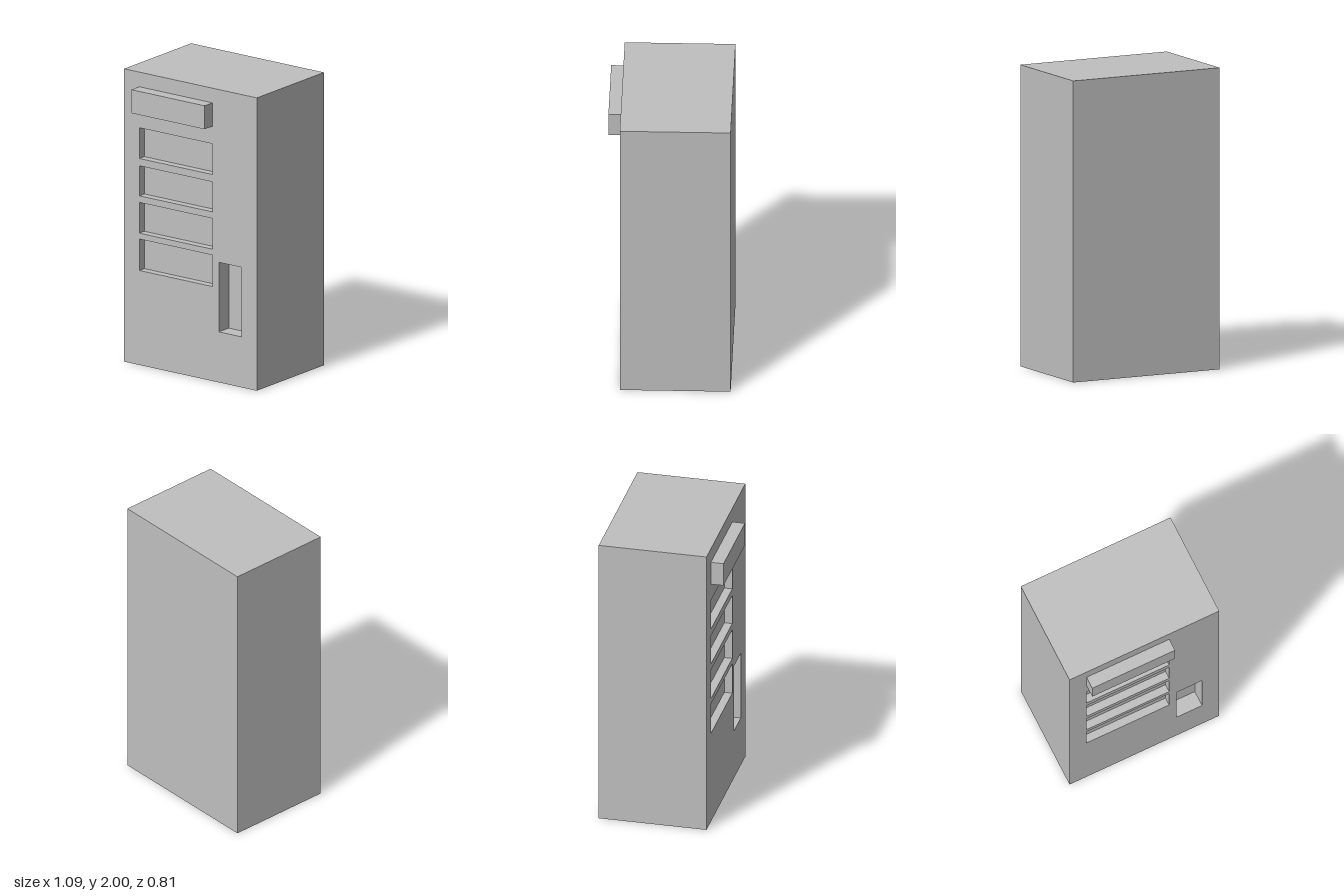
import * as THREE from 'three';

const FRONT = 0.32, BACK = -0.405, HALF = 0.545, HEIGHT = 2;

// Box between two corners without its front (+z) face; inward turns the faces inside
function openBox(x0, x1, y0, y1, z0, z1, inward) {
  const g = new THREE.BoxGeometry(x1 - x0, y1 - y0, z1 - z0);
  g.translate((x0 + x1) / 2, (y0 + y1) / 2, (z0 + z1) / 2);
  const index = Array.from(g.index.array);
  index.splice(24, 6);
  if (inward) index.reverse();
  g.setIndex(index);
  g.clearGroups();
  g.computeVertexNormals();
  return g;
}

function rectangle(target, x0, x1, y0, y1) {
  target.moveTo(x0, y0);
  target.lineTo(x1, y0);
  target.lineTo(x1, y1);
  target.lineTo(x0, y1);
  target.closePath();
  return target;
}

export function createModel() {
  const model = new THREE.Group();
  model.name = 'vendingMachine';
  const grey = new THREE.MeshStandardMaterial({ color: 0xbfbfbf });
  grey.name = 'lightGrey';

  const add = (name, geometry) => {
    const mesh = new THREE.Mesh(geometry, grey);
    mesh.name = name;
    model.add(mesh);
    return mesh;
  };

  // Cabinet sides, back, top and base
  add('cabinet', openBox(-HALF, HALF, 0, HEIGHT, BACK, FRONT, false));

  // Four shallow display windows and one deeper dispensing slot
  const recesses = [[1.41, 1.62], [1.155, 1.36], [0.9, 1.11], [0.645, 0.86]].map(
    ([y0, y1], i) => ({ name: `displayRecess${i + 1}`, x0: -0.42, x1: 0.18, y0, y1, depth: 0.054 }));
  recesses.push({ name: 'dispensingSlot', x0: 0.233, x1: 0.42, y0: 0.345, y1: 0.82, depth: 0.108 });

  // Front panel with openings, and the pocket behind each opening
  const panel = rectangle(new THREE.Shape(), -HALF, HALF, 0, HEIGHT);
  for (const { name, x0, x1, y0, y1, depth } of recesses) {
    panel.holes.push(rectangle(new THREE.Path(), x0, x1, y0, y1));
    add(name, openBox(x0, x1, y0, y1, FRONT - depth, FRONT, true));
  }
  add('frontPanel', new THREE.ShapeGeometry(panel)).position.z = FRONT;

  // Raised sign block near the top
  const sign = add('signBlock', new THREE.BoxGeometry(0.602, 0.16, 0.085));
  sign.position.set(-0.12, 1.82, FRONT + 0.0425);

  return model;
}
